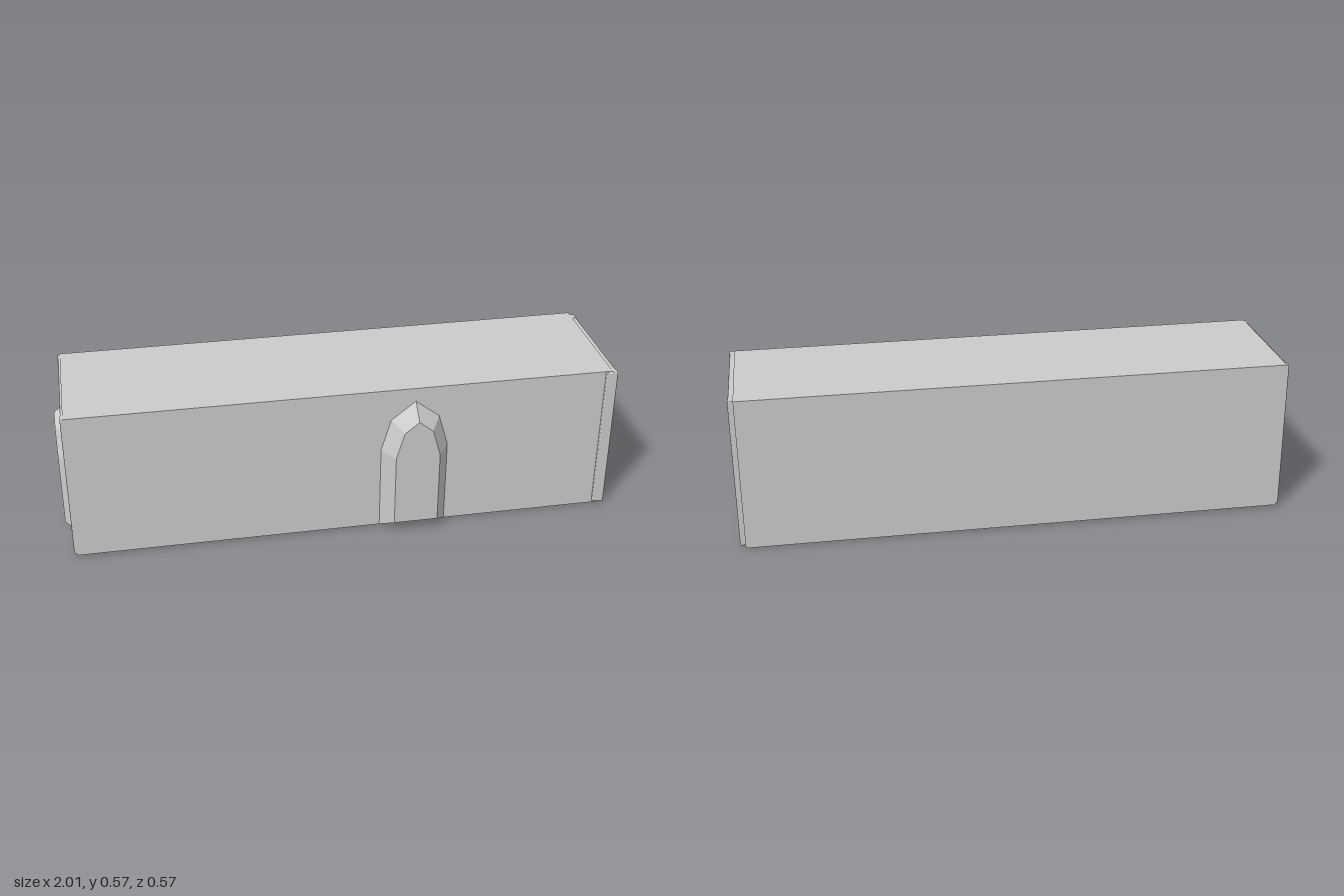
import * as THREE from 'three';
import { RoundedBoxGeometry } from 'three/addons/geometries/RoundedBoxGeometry.js';

const mat = new THREE.MeshStandardMaterial({ color: 0xcccccc, flatShading: true, side: THREE.DoubleSide });

const LENGTH = 1.945, WIDTH = 0.487, HEIGHT = 0.559;
const NICHE_DEPTH = 0.062;

// Pointed-arch outlines: mouth of the niche and its smaller back face
const MOUTH = [[-0.122, 0], [-0.122, 0.32], [-0.087, 0.44], [0, 0.508], [0.087, 0.44], [0.122, 0.32], [0.122, 0]];
const BACK = [[-0.08, 0.042], [-0.08, 0.316], [-0.051, 0.416], [0, 0.456], [0.051, 0.416], [0.08, 0.316], [0.08, 0.042]];

function add(parent, name, geometry, x = 0, y = 0, z = 0) {
  const mesh = new THREE.Mesh(geometry, mat);
  mesh.name = name;
  mesh.position.set(x, y, z);
  parent.add(mesh);
  return mesh;
}

// Wall panel facing +z with an arched doorway cut up from its lower edge
function archedPanel(width, cx) {
  const s = new THREE.Shape();
  s.moveTo(-width / 2, 0);
  MOUTH.forEach(([x, y]) => s.lineTo(cx + x, y));
  s.lineTo(width / 2, 0);
  s.lineTo(width / 2, HEIGHT);
  s.lineTo(-width / 2, HEIGHT);
  return new THREE.ShapeGeometry(s);
}

// Splayed niche running outward (+z) from mouth to back face
function nicheGeometry() {
  const n = MOUTH.length, pos = [], idx = [];
  MOUTH.forEach(([x, y]) => pos.push(x, y, 0));
  BACK.forEach(([x, y]) => pos.push(x, y, NICHE_DEPTH));
  for (let i = 0; i < n; i++) {
    const j = (i + 1) % n;
    idx.push(i, n + i, j, j, n + i, n + j);
  }
  for (let i = 1; i < n - 1; i++) idx.push(n, n + i + 1, n + i);
  const g = new THREE.BufferGeometry();
  g.setAttribute('position', new THREE.Float32BufferAttribute(pos, 3));
  g.setIndex(idx);
  const flat = g.toNonIndexed();
  flat.computeVertexNormals();
  return flat;
}

// Wall together with its niche
function nicheWall(name, width, cx) {
  const wall = new THREE.Group();
  wall.name = name;
  add(wall, name + 'Panel', archedPanel(width, cx));
  add(wall, name + 'Niche', nicheGeometry(), cx);
  return wall;
}

// Two posts and a lintel across an end of the corridor
function endFrame(name) {
  const frame = new THREE.Group();
  frame.name = name;
  for (const s of [-1, 1]) {
    add(frame, 'post', new RoundedBoxGeometry(0.044, 0.552, 0.035, 2, 0.005), 0, 0.281, s * 0.225);
  }
  add(frame, 'lintel', new RoundedBoxGeometry(0.04, 0.036, 0.43, 2, 0.004), 0, 0.538, 0);
  return frame;
}

export function createModel() {
  const model = new THREE.Group();
  model.name = 'corridor';
  const body = new THREE.Group();
  body.name = 'corridorBody';
  body.position.set(0.0075, 0.0035, -0.0155);
  body.rotation.set(0, 0.0247, -0.0036);
  model.add(body);

  // Floor and roof
  const slab = new THREE.PlaneGeometry(LENGTH, WIDTH);
  add(body, 'floor', slab).rotation.x = -Math.PI / 2;
  add(body, 'roof', slab, 0, HEIGHT, 0).rotation.x = -Math.PI / 2;

  // Plain back wall, front and end walls with niches
  add(body, 'backWall', new THREE.PlaneGeometry(LENGTH, HEIGHT), 0, HEIGHT / 2, -WIDTH / 2);

  const front = nicheWall('frontWall', LENGTH, 0.25);
  front.position.z = WIDTH / 2;
  body.add(front);

  const end = nicheWall('endWall', WIDTH, 0.004);
  end.position.x = -0.945;
  end.rotation.y = -Math.PI / 2;
  body.add(end);

  // Frames at the open end and at the closed end
  const openFrame = endFrame('openEndFrame');
  openFrame.position.set(0.97, 0, 0.009);
  const closedFrame = endFrame('closedEndFrame');
  closedFrame.position.set(-0.96, 0, -0.001);
  body.add(openFrame, closedFrame);

  return model;
}
